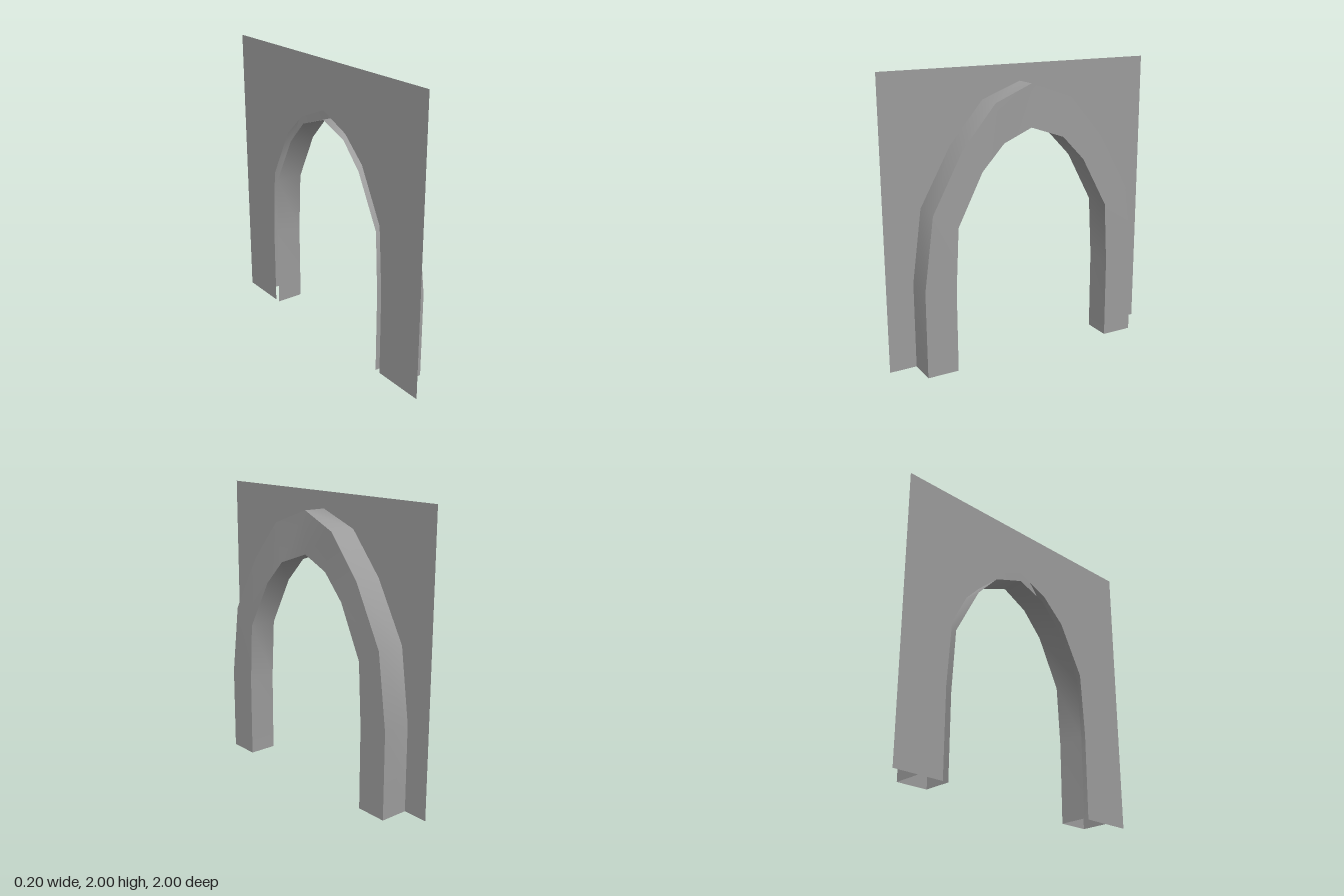
import * as THREE from 'three';

const BACK = -0.1;
// Half profiles from foot to apex as [half width, height]
const OUTER = [[0.815, 0], [0.815, 0.6], [0.745, 1.105], [0.525, 1.5], [0.285, 1.78], [0, 1.885]];
const INNER = [[0.594, 0], [0.594, 0.57], [0.57, 1.0], [0.387, 1.345], [0.225, 1.515], [0, 1.595]];
const OPENING = [[0.635, 0], [0.635, 0.6], [0.605, 1.05], [0.42, 1.4], [0.245, 1.56], [0, 1.66]];
// Depth of the arch face at each station, dipping at the apex
const FACE = [0.1, 0.1, 0.1, 0.09, 0.086, 0.06];

// Mirror a half profile into a full arch of [z, y, face x]; the legs sit a touch off centre
function fullArch(half) {
  const side = (s) => half.map(([w, y], i) => [w ? s * w - 0.006 : 0, y, FACE[i]]);
  return [...side(1), ...side(-1).reverse().slice(1)];
}

// Smooth ribbon between two rows of points
function ribbon(name, rowA, rowB, material) {
  const positions = [], index = [];
  rowA.forEach((a, i) => positions.push(...a, ...rowB[i]));
  for (let i = 0; i < rowA.length - 1; i++) {
    const k = i * 2;
    index.push(k, k + 1, k + 2, k + 1, k + 3, k + 2);
  }
  const geometry = new THREE.BufferGeometry();
  geometry.setAttribute('position', new THREE.Float32BufferAttribute(positions, 3));
  geometry.setIndex(index);
  geometry.computeVertexNormals();
  const mesh = new THREE.Mesh(geometry, material);
  mesh.name = name;
  return mesh;
}

export function createModel() {
  const model = new THREE.Group();
  model.name = 'archway';
  const material = new THREE.MeshStandardMaterial({ color: 0x9c9c9c, side: THREE.DoubleSide });

  // Thin wall with an arched opening reaching the ground
  const shape = new THREE.Shape();
  shape.moveTo(-1, 0);
  fullArch(OPENING).forEach(([z, y]) => shape.lineTo(-z, y));
  shape.lineTo(1, 0);
  shape.lineTo(1, 2);
  shape.lineTo(-1, 2);
  shape.closePath();
  const wall = new THREE.Mesh(new THREE.ShapeGeometry(shape), material);
  wall.geometry.rotateY(Math.PI / 2).translate(BACK, 0, 0);
  wall.name = 'wall';
  model.add(wall);

  // Hollow arch surround: outer side, face and inner side, open at the feet and back
  const atBack = ([z, y]) => [BACK, y, z];
  const atFace = ([z, y, x]) => [x, y, z];
  const outer = fullArch(OUTER), inner = fullArch(INNER);
  const surround = new THREE.Group();
  surround.name = 'archSurround';
  surround.add(
    ribbon('outerSide', outer.map(atBack), outer.map(atFace), material),
    ribbon('archFace', outer.map(atFace), inner.map(atFace), material),
    ribbon('innerSide', inner.map(atFace), inner.map(atBack), material),
  );
  model.add(surround);
  return model;
}
